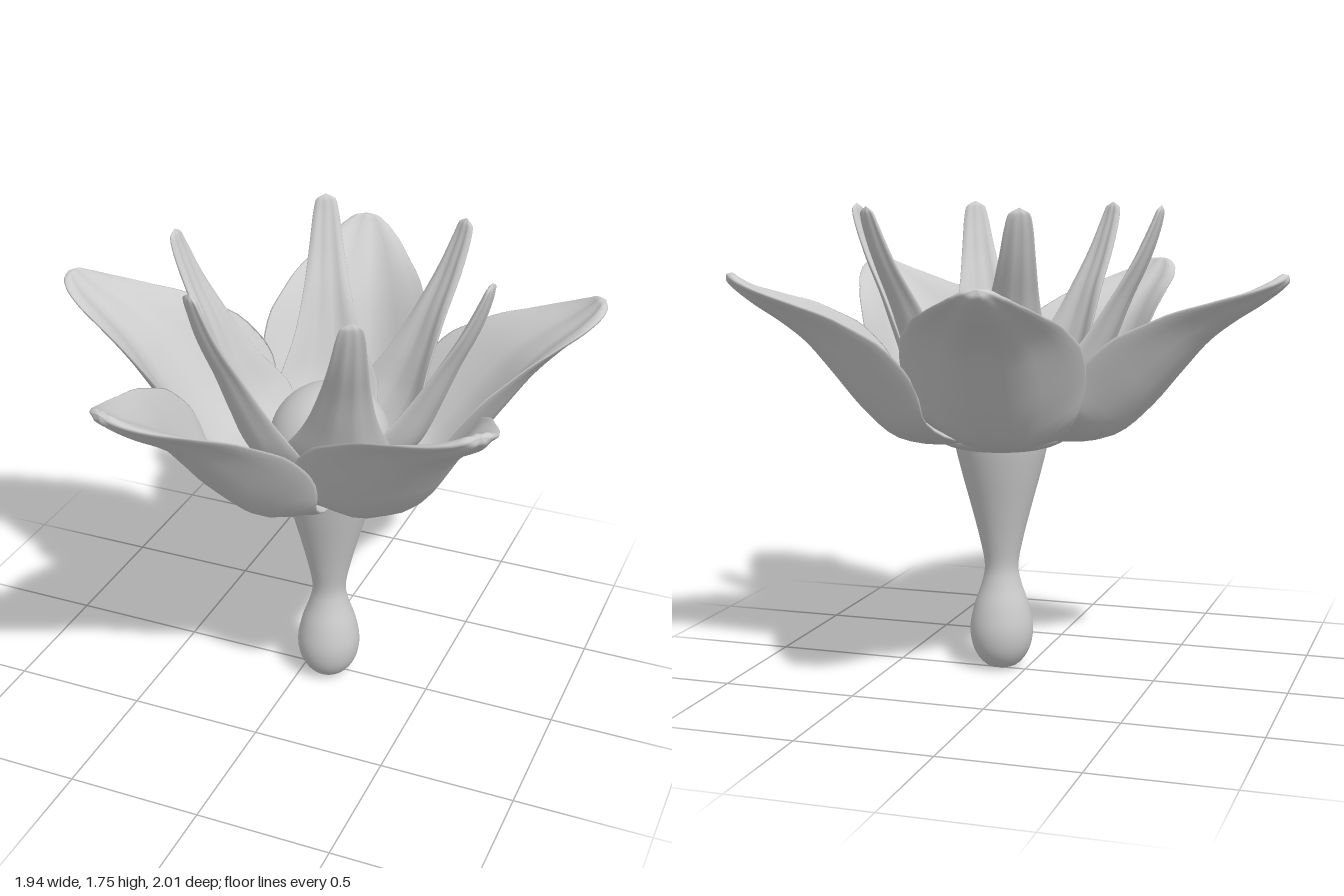
import * as THREE from 'three';

const material = new THREE.MeshStandardMaterial({ color: 0xcccccc });

// Cupped, closed petal growing along +x.
// Rows: [radius, height, half width, edge lift]; tilt turns one edge out and the other in.
function petalGeometry(rows, thickness, ripple, tilt) {
  const steps = 48, sides = 32;
  const spine = new THREE.CatmullRomCurve3(rows.map(([r, y]) => new THREE.Vector3(r, y, 0)));
  const section = new THREE.CatmullRomCurve3(rows.map(([, , w, l], i) => new THREE.Vector3(w, l, i * 0.2)));
  const positions = [], index = [];
  for (let i = 0; i <= steps; i++) {
    const t = 1 - (1 - i / steps) ** 1.4; // denser rings near the rounded tip
    const p = spine.getPoint(t);
    const tangent = spine.getTangent(t);
    const s = section.getPoint(t);
    const w = Math.max(s.x, 0);
    const half = thickness * Math.min(1, w / 0.06);
    for (let j = 0; j < sides; j++) {
      const a = (j / sides) * Math.PI * 2;
      const c = Math.cos(a);
      const folds = ripple * Math.cos(c * Math.PI * 3) * Math.sin(Math.PI * t);
      const n = s.y * c * c + half * Math.sin(a) + folds + tilt * w * c * (1 - t);
      positions.push(p.x - tangent.y * n, p.y + tangent.x * n, w * c);
      if (i < steps) {
        const k = i * sides + j, m = i * sides + (j + 1) % sides;
        index.push(k, k + sides, m, m, k + sides, m + sides);
      }
    }
  }
  const geometry = new THREE.BufferGeometry();
  geometry.setAttribute('position', new THREE.Float32BufferAttribute(positions, 3));
  geometry.setIndex(index);
  geometry.computeVertexNormals();
  return geometry;
}

// Ring of petals; each entry is [angle in degrees, reach]
function petalRing(name, geometry, places) {
  const ring = new THREE.Group();
  ring.name = name + 's';
  for (const [angle, reach] of places) {
    const petal = new THREE.Mesh(geometry, material);
    petal.name = name;
    petal.rotation.y = -THREE.MathUtils.degToRad(angle);
    petal.scale.x = reach;
    ring.add(petal);
  }
  return ring;
}

export function createModel() {
  const model = new THREE.Group();
  model.name = 'flower';
  const flower = new THREE.Group();
  flower.name = 'blossom';
  flower.position.set(0.1, 0, 0.02);
  model.add(flower);

  // Stem with a bulb at the foot and a flared top
  const profile = new THREE.SplineCurve([
    [0, 0], [0.06, 0.012], [0.105, 0.07], [0.12, 0.15], [0.105, 0.24], [0.075, 0.33], [0.064, 0.4],
    [0.082, 0.5], [0.115, 0.63], [0.15, 0.76], [0.175, 0.87], [0.17, 0.92], [0, 0.94],
  ].map(([x, y]) => new THREE.Vector2(x, y)));
  const stemPoints = profile.getPoints(60).map((p) => p.set(Math.max(p.x, 0), Math.max(p.y, 0)));
  const stem = new THREE.Mesh(new THREE.LatheGeometry(stemPoints, 40), material);
  stem.name = 'stem';
  flower.add(stem);

  // Swollen collar under the petals
  const receptacle = new THREE.Mesh(new THREE.SphereGeometry(1, 32, 16), material);
  receptacle.name = 'receptacle';
  receptacle.scale.set(0.25, 0.06, 0.25);
  receptacle.position.y = 0.9;
  flower.add(receptacle);

  // Round centre
  const heart = new THREE.Mesh(new THREE.SphereGeometry(0.225, 40, 28), material);
  heart.name = 'flowerCentre';
  heart.position.y = 1.02;
  flower.add(heart);

  // Five broad outer petals, each overlapping the next
  const outer = petalGeometry([
    [0.08, 0.92, 0.12, 0], [0.26, 0.905, 0.23, 0.045], [0.42, 0.93, 0.295, 0.13], [0.55, 1.035, 0.325, 0.2],
    [0.665, 1.17, 0.315, 0.19], [0.765, 1.285, 0.26, 0.125], [0.86, 1.36, 0.2, 0.075],
    [0.96, 1.425, 0.145, 0.04], [1.025, 1.475, 0.095, 0.015], [1.055, 1.505, 0.05, 0.003], [1.065, 1.515, 0, 0],
  ], 0.02, 0.006, 0.1);
  flower.add(petalRing('outerPetal', outer,
    [[181, 1], [256, 0.985], [328.5, 0.94], [41, 0.94], [112, 0.985]]));

  // Six slender upright inner petals with broad cupped bases
  const inner = petalGeometry([
    [0.08, 0.94, 0.09, 0], [0.21, 0.97, 0.17, 0.04], [0.33, 1.09, 0.185, 0.08], [0.41, 1.26, 0.125, 0.055],
    [0.475, 1.42, 0.088, 0.03], [0.54, 1.56, 0.066, 0.015], [0.585, 1.68, 0.05, 0.005],
    [0.6, 1.735, 0.036, 0], [0.604, 1.755, 0, 0],
  ], 0.017, 0.004, 0.12);
  flower.add(petalRing('innerPetal', inner,
    [[4, 0.98], [62, 0.98], [120, 0.98], [180, 1], [246, 0.99], [303, 0.99]]));

  return model;
}
